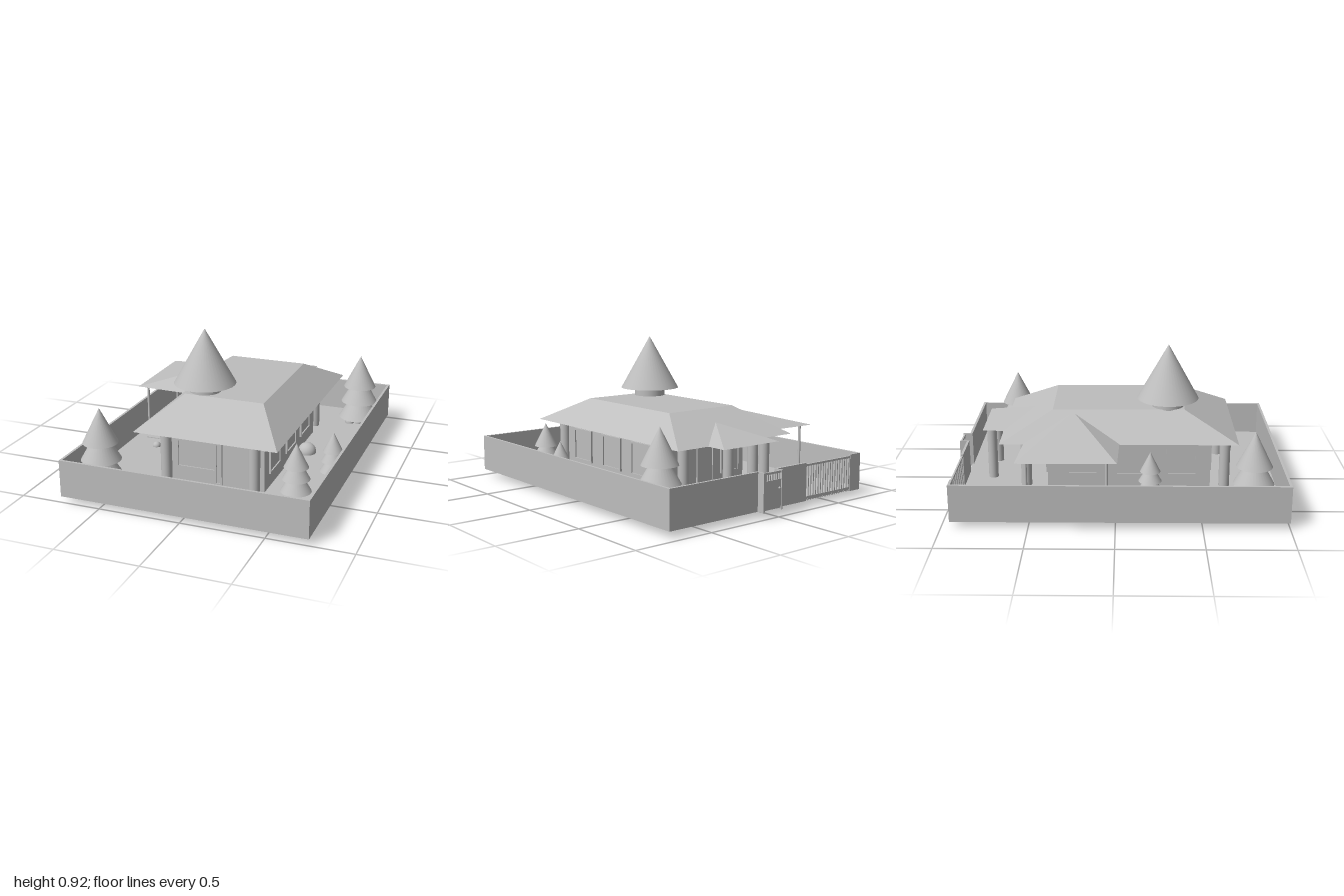
import * as THREE from 'three';
import { ConvexGeometry } from 'three/addons/geometries/ConvexGeometry.js';

export function createModel() {
  const model = new THREE.Group();
  const grey = new THREE.MeshStandardMaterial({ color: 0xbebebe });
  grey.name = 'plainGrey';

  const add = (name, geometry, x = 0, y = 0, z = 0, parent = model) => {
    const mesh = new THREE.Mesh(geometry, grey);
    mesh.name = name;
    mesh.position.set(x, y, z);
    parent.add(mesh);
    return mesh;
  };
  // Box given by its extents
  const box = (name, x0, x1, y0, y1, z0, z1, parent) =>
    add(name, new THREE.BoxGeometry(x1 - x0, y1 - y0, z1 - z0),
      (x0 + x1) / 2, (y0 + y1) / 2, (z0 + z1) / 2, parent);
  const pole = (name, x, z, r, y0, y1, parent) =>
    add(name, new THREE.CylinderGeometry(r, r, y1 - y0, 24), x, (y0 + y1) / 2, z, parent);
  const hull = (name, points) =>
    add(name, new ConvexGeometry(points.map(p => new THREE.Vector3(...p))));
  const group = name => {
    const g = new THREE.Group();
    g.name = name;
    model.add(g);
    return g;
  };

  // Ground and driveway
  box('ground', -0.74, 0.74, 0.045, 0.055, -0.945, 0.995);
  box('driveway', -0.655, -0.28, 0.05, 0.06, -0.94, 0.05);

  // Boundary walls; the back one has openings for the fence and the gate
  const B = 0.04, T = 0.265, W = 0.015;
  box('frontWall', -0.745, 0.745, B, T, 1 - W, 1);
  for (const s of [-1, 1]) {
    const x = s * (0.745 - W / 2);
    box('sideWall', x - W / 2, x + W / 2, B, T, -0.95, 1);
  }
  for (const [x0, x1] of [[-0.745, -0.655], [-0.27, -0.03], [0.11, 0.745]])
    box('backWall', x0, x1, B, T, -0.95, -0.95 + W);

  // Driveway fence with upright bars
  const fence = group('drivewayFence');
  for (const y of [0.06, 0.25]) box('fenceRail', -0.655, -0.27, y - 0.006, y + 0.006, -0.948, -0.938, fence);
  for (let i = 0; i <= 18; i++) {
    const x = -0.65 + i * 0.0208;
    box('fenceBar', x - 0.003, x + 0.003, B, 0.255, -0.946, -0.94, fence);
  }

  // Entrance gate standing out from the back wall
  const gate = group('gate');
  for (const x of [-0.035, 0.105]) box('gatePost', x, x + 0.01, B, T, -0.995, -0.935, gate);
  box('gatePanel', -0.025, 0.105, 0.05, 0.215, -0.99, -0.98, gate);
  box('gateTopRail', -0.025, 0.105, 0.25, 0.262, -0.99, -0.98, gate);
  for (let i = 0; i < 7; i++) {
    const x = -0.015 + i * 0.018;
    box('gateBar', x - 0.003, x + 0.003, 0.215, 0.25, -0.988, -0.982, gate);
  }
  add('gateKnob', new THREE.SphereGeometry(0.007, 12, 8), -0.01, 0.165, -0.993, gate);

  // House walls with foundation
  const outline = new THREE.Shape([[-0.27, -0.575], [0.35, -0.575], [0.35, 0.42], [-0.27, 0.42]]
    .map(p => new THREE.Vector2(...p)));
  outline.holes.push(new THREE.Path([[-0.24, -0.545], [-0.24, 0.39], [0.32, 0.39], [0.32, -0.545]]
    .map(p => new THREE.Vector2(...p))));
  const walls = new THREE.ExtrudeGeometry(outline, { depth: 0.365, bevelEnabled: false });
  walls.rotateX(-Math.PI / 2);
  add('houseWalls', walls, 0, 0.02, 0);

  // Framed window or door in a wall: u along the wall, v up, facing outward by angle
  const opening = (name, x, z, angle, width, y0, y1) => {
    const g = group(name);
    g.position.set(x, 0, z);
    g.rotation.y = angle;
    const h = width / 2, f = 0.012;
    box('pane', -h, h, y0, y1, 0, 0.004, g);
    for (const s of [-1, 1]) box('jamb', s * h - f / 2, s * h + f / 2, y0, y1, 0, 0.012, g);
    for (const y of [y0, y1 - f]) box('crossFrame', -h, h, y, y + f, 0, 0.012, g);
    return g;
  };
  for (const z of [0.4, 0.09, -0.205]) {
    opening('sideWindow', 0.35, z, Math.PI / 2, 0.18, 0.14, 0.345);
    opening('sideWindow', -0.27, z, -Math.PI / 2, 0.18, 0.14, 0.345);
  }
  opening('frontWindow', -0.07, 0.575, 0, 0.24, 0.14, 0.32);
  opening('frontDoor', 0.067, 0.575, 0, 0.034, 0.06, 0.325);
  opening('backDoor', 0.04, -0.42, Math.PI, 0.12, 0.06, 0.33);
  for (const x of [-0.16, 0.24]) opening('backWindow', x, -0.42, Math.PI, 0.14, 0.14, 0.33);

  // Main hipped roof with a flat top
  const E = 0.385;
  hull('mainRoof', [
    [-0.405, E, -0.695], [0.475, E, -0.695], [0.475, E, 0.73], [-0.405, E, 0.73],
    [-0.21, 0.54, -0.385], [0.285, 0.54, -0.385], [0.285, 0.54, 0.415], [-0.21, 0.54, 0.415]]);
  // Carport roof
  hull('carportRoof', [
    [-0.72, 0.39, -0.57], [-0.72, 0.39, 0.01], [-0.4, 0.388, -0.55], [-0.4, 0.388, 0.02],
    [-0.235, 0.521, -0.275], [-0.235, 0.521, -0.25]]);
  // Porch roof
  hull('porchRoof', [
    [-0.17, E, -0.825], [0.255, E, -0.825], [-0.17, E, -0.69], [0.255, E, -0.69], [0.04, 0.477, -0.515]]);

  // Turret
  pole('turretBase', -0.12, 0.315, 0.098, 0.5, 0.59);
  add('turretRoof', new THREE.ConeGeometry(0.187, 0.335, 40), -0.12, 0.7575, 0.315);

  // Columns and carport posts
  for (const x of [-0.225, 0.32]) for (const z of [0.665, -0.555])
    pole('veranda column', x, z, 0.033, 0.04, 0.39);
  for (const x of [-0.1, 0.18]) pole('porchColumn', x, -0.777, 0.03, 0.035, 0.39);
  for (const z of [-0.51, -0.05]) pole('carportPost', -0.68, z, 0.008, 0.04, 0.392);

  // Round lamps under the eaves
  for (const [x, z] of [[-0.47, -0.26], [-0.335, 0.22], [-0.335, -0.18], [-0.12, 0.65], [0.05, 0.65],
    [0.2, 0.65], [0.41, 0.22], [0.41, -0.18], [0.04, -0.75]]) {
    add('eaveLamp', new THREE.SphereGeometry(0.03, 20, 10), x, E, z).scale.y = 0.45;
  }

  // Three-tier fir trees
  const tree = (x, z, s) => {
    const g = group('tree');
    g.position.set(x, 0.05, z);
    g.scale.setScalar(s);
    pole('trunk', 0, 0, 0.022, -0.015, 0.1, g);
    for (const [r, y0, y1] of [[0.132, 0.06, 0.28], [0.119, 0.17, 0.38], [0.105, 0.275, 0.485]])
      add('foliage', new THREE.ConeGeometry(r, y1 - y0, 32), 0, (y0 + y1) / 2, 0, g);
  };
  tree(-0.58, 0.8, 1);
  tree(0.595, -0.685, 1);
  tree(0.535, 0.56, 0.69);
  tree(0.655, 0.205, 0.585);
  tree(-0.39, 0.205, 0.585);

  // Round bushes
  for (const [x, z, r, y] of [[-0.385, 0.745, 0.058, 0.07], [0.44, 0.722, 0.058, 0.06], [0.41, -0.08, 0.058, 0.062],
    [0.67, -0.08, 0.032, 0.062], [-0.53, 0.16, 0.026, 0.058], [-0.62, 0.77, 0.04, 0.062], [0.535, -0.68, 0.03, 0.06]])
    add('bush', new THREE.SphereGeometry(r, 24, 16), x, y, z);

  return model;
}
